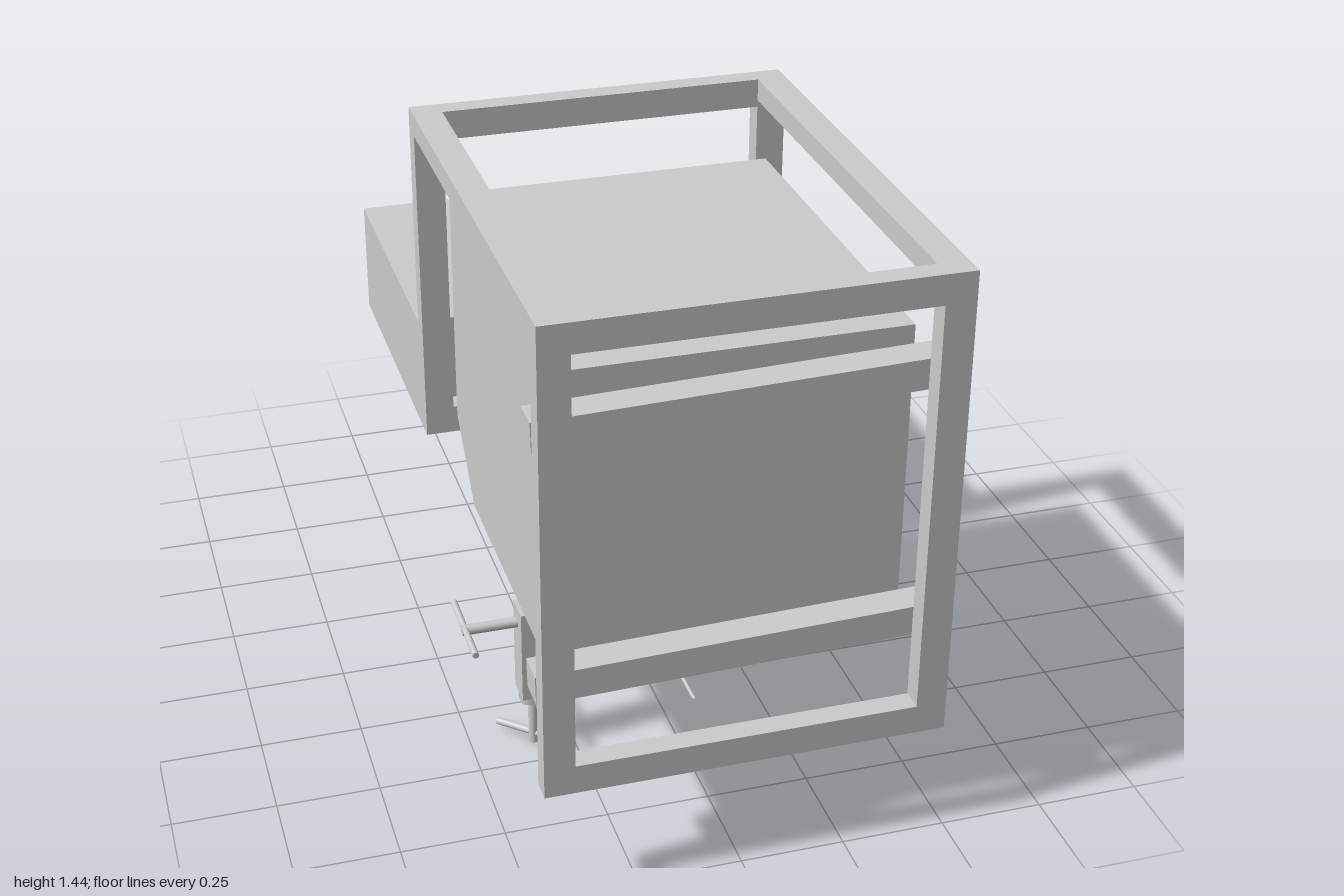
import * as THREE from 'three';

const grey = new THREE.MeshStandardMaterial({ color: 0xcccccc, side: THREE.DoubleSide });

export function createModel() {
  const root = new THREE.Group();

  const add = (parent, name, geometry) => {
    const mesh = new THREE.Mesh(geometry, grey);
    mesh.name = name;
    parent.add(mesh);
    return mesh;
  };
  const group = (name) => {
    const g = new THREE.Group();
    g.name = name;
    root.add(g);
    return g;
  };
  // box given by its limits on each axis
  const box = (parent, name, [x0, x1], [y0, y1], [z0, z1]) => {
    const m = add(parent, name, new THREE.BoxGeometry(x1 - x0, y1 - y0, z1 - z0));
    m.position.set((x0 + x1) / 2, (y0 + y1) / 2, (z0 + z1) / 2);
    return m;
  };
  // round bar between two points
  const rod = (parent, name, a, b, r, sides = 20) => {
    const p = new THREE.Vector3(...a), q = new THREE.Vector3(...b);
    const d = q.clone().sub(p);
    const m = add(parent, name, new THREE.CylinderGeometry(r, r, d.length(), sides));
    m.position.copy(p).add(q).multiplyScalar(0.5);
    m.quaternion.setFromUnitVectors(new THREE.Vector3(0, 1, 0), d.normalize());
    return m;
  };
  // wire through points with small rounded bends
  const wire = (parent, name, points, r, bend = 0.02) => {
    const v = points.map((p) => new THREE.Vector3(...p));
    const path = new THREE.CurvePath();
    let from = v[0];
    for (let i = 1; i < v.length - 1; i++) {
      const a = v[i].clone().add(v[i - 1].clone().sub(v[i]).setLength(bend));
      const b = v[i].clone().add(v[i + 1].clone().sub(v[i]).setLength(bend));
      path.add(new THREE.LineCurve3(from, a));
      path.add(new THREE.QuadraticBezierCurve3(a, v[i], b));
      from = b;
    }
    path.add(new THREE.LineCurve3(from, v[v.length - 1]));
    return add(parent, name, new THREE.TubeGeometry(path, 120, r, 10));
  };

  const L = -0.465, R = 0.485, W = 0.072;

  // front and back rectangular frames joined by two top rails
  const frame = group('frame');
  const rectangle = (name, y0, y1, z) => {
    box(frame, name + 'Post', [L, L + W], [y0, y1], z);
    box(frame, name + 'Post', [R - W, R], [y0, y1], z);
    box(frame, name + 'TopBar', [L + W, R - W], [y1 - W, y1], z);
    box(frame, name + 'BottomBar', [L + W, R - W], [y0, y0 + W], z);
  };
  rectangle('front', 0.28, 1.44, [0.945, 1]);
  rectangle('back', 0.56, 1.44, [-0.25, -0.195]);
  for (const x of [L, R - W]) box(frame, 'topRail', [x, x + W], [1.385, 1.44], [-0.195, 0.945]);

  // slightly tilted cross bars behind the front frame
  for (const y of [1.17, 0.541]) {
    const bar = box(frame, 'crossBar', [L - 0.002, R + 0.002], [y - 0.037, y + 0.037], [0.867, 0.945]);
    bar.rotation.z = 0.026;
  }

  // main body with a chamfered lower back edge
  const side = new THREE.Shape();
  [[0.862, 0.48], [0.862, 1.26], [-0.115, 1.26], [-0.115, 0.65], [0.055, 0.48]]
    .forEach(([z, y], i) => (i ? side.lineTo(-z, y) : side.moveTo(-z, y)));
  side.closePath();
  const body = add(root, 'body', new THREE.ExtrudeGeometry(side, { depth: 0.81, bevelEnabled: false }));
  body.rotation.y = Math.PI / 2;
  body.position.x = -0.4;

  // rear box with small fittings beneath
  const rear = group('rearBox');
  box(rear, 'rearCase', [L, R + 0.002], [0.56, 0.86], [-1, -0.25]);
  const disc = add(rear, 'sideDisc', new THREE.CircleGeometry(0.09, 32));
  disc.rotation.x = -Math.PI / 2;
  disc.position.set(0.425, 0.558, -0.33);
  for (const x of [0.43, 0.39, 0.14, 0.09])
    rod(rear, 'smallFoot', [x, 0.545, -0.32], [x, 0.56, -0.32], 0.011);
  box(rear, 'mountPlate', [-0.2, -0.1], [0.545, 0.56], [-0.49, -0.41]);
  rod(rear, 'mountPin', [-0.15, 0.522, -0.45], [-0.15, 0.545, -0.45], 0.022);

  // canister under the body
  rod(root, 'canister', [0.35, 0.362, 0.395], [0.35, 0.362, 0.61], 0.067, 40);

  // clamp: block, screw with a cross handle, and side screw
  const clamp = group('clamp');
  box(clamp, 'clampBlock', [-0.38, -0.302], [0.15, 0.395], [0.375, 0.452]);
  rod(clamp, 'collar', [-0.345, 0.125, 0.413], [-0.345, 0.155, 0.413], 0.037, 6);
  rod(clamp, 'screw', [-0.345, 0, 0.413], [-0.345, 0.13, 0.413], 0.013);
  rod(clamp, 'screwHandle', [-0.42, 0.025, 0.345], [-0.268, 0.025, 0.485], 0.009);
  rod(clamp, 'sideScrew', [-0.515, 0.35, 0.405], [-0.37, 0.35, 0.405], 0.013);
  rod(clamp, 'sideHandle', [-0.508, 0.355, 0.285], [-0.508, 0.355, 0.525], 0.008);

  // swivel arm with its wire rest and tightening key
  const arm = group('arm');
  rod(arm, 'swivel', [-0.305, 0.197, 0.413], [-0.287, 0.197, 0.413], 0.042, 28);
  rod(arm, 'armBar', [-0.29, 0.196, 0.413], [-0.155, 0.196, 0.413], 0.014);
  wire(arm, 'rest', [[-0.16, 0.193, 0.413], [0.005, 0.193, 0.413], [0.005, 0.193, 0.61]], 0.005);
  rod(arm, 'keyStem', [-0.212, 0.148, 0.413], [-0.212, 0.19, 0.413], 0.007);
  rod(arm, 'keyHandle', [-0.212, 0.154, 0.413], [-0.115, 0.154, 0.413], 0.004);

  // bent wire from the canister to the arm
  wire(arm, 'link', [
    [0.31, 0.37, 0.4], [0.31, 0.37, 0.27], [-0.185, 0.2, 0.27], [-0.185, 0.2, 0.413],
  ], 0.005);

  return root;
}
